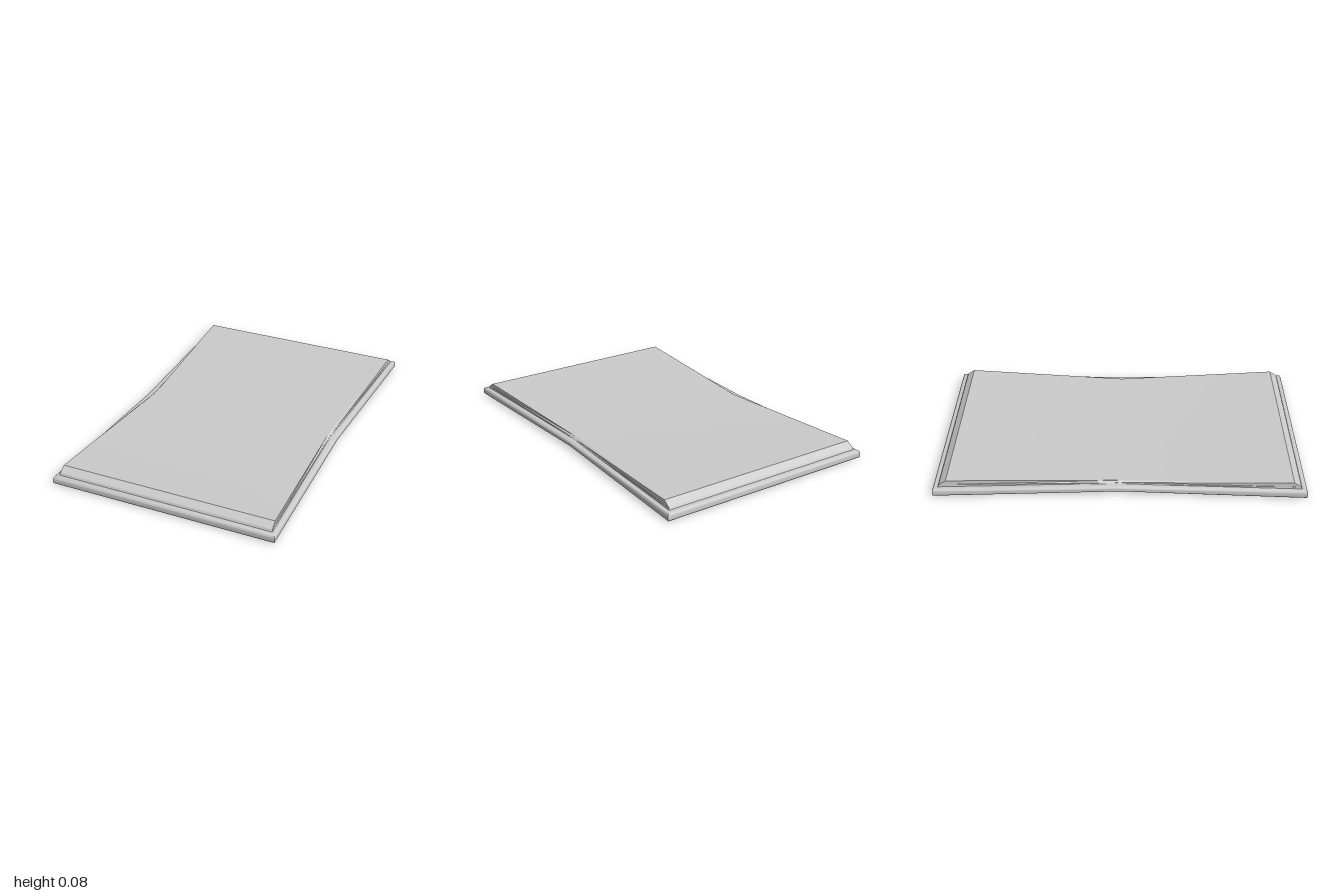
import * as THREE from 'three';
import { toCreasedNormals } from 'three/addons/utils/BufferGeometryUtils.js';

// Closed waisted slab lofted from rings, lowest first.
// Each ring: [half width at ends, half width at waist, half length, y at ends, y at waist]
function waistedSlab(rings, crease) {
  const positions = [];
  const index = [];
  for (const [wEnd, wMid, len, yEnd, yMid] of rings) {
    positions.push(
      wEnd, yEnd, len, wMid, yMid, 0, wEnd, yEnd, -len,
      -wEnd, yEnd, -len, -wMid, yMid, 0, -wEnd, yEnd, len
    );
  }
  for (let r = 0; r < rings.length - 1; r++) {
    for (let i = 0; i < 6; i++) {
      const a = r * 6 + i;
      const b = r * 6 + (i + 1) % 6;
      index.push(a, b, b + 6, a, b + 6, a + 6);
    }
  }
  // Two quads close the bottom and two close the top
  const t = (rings.length - 1) * 6;
  for (const [a, b, c] of [[0, 1, 4], [0, 4, 5], [1, 2, 3], [1, 3, 4]]) {
    index.push(a, c, b, t + a, t + b, t + c);
  }
  const geometry = new THREE.BufferGeometry();
  geometry.setAttribute('position', new THREE.Float32BufferAttribute(positions, 3));
  geometry.setIndex(index);
  return toCreasedNormals(geometry, crease);
}

// Rounded rim of the base: quarter arcs at the lower and upper edge
function baseRings() {
  const rings = [];
  const add = (inset, y, yMid) => rings.push([0.635 - inset, 0.603 - inset, 1 - inset, y, yMid]);
  const steps = 5;
  for (let i = 0; i <= steps; i++) {
    const a = (i / steps) * Math.PI / 2;
    const y = 0.012 * (1 - Math.cos(a));
    add(0.012 * (1 - Math.sin(a)), y, 0.013 + y * 0.7);
  }
  for (let i = 0; i <= steps; i++) {
    const a = (i / steps) * Math.PI / 2;
    const y = 0.031 + 0.015 * Math.sin(a);
    add(0.018 * (1 - Math.cos(a)), y, y - 0.001);
  }
  return rings;
}

export function createModel() {
  const group = new THREE.Group();
  group.name = 'waistedSlab';
  const material = new THREE.MeshStandardMaterial({ color: 0xcccccc });

  // Base with rounded rim, its underside slightly raised at the waist
  const base = new THREE.Mesh(waistedSlab(baseRings(), 0.8), material);
  base.name = 'base';

  // Top plate, dished towards the waist, with bevelled ends
  const plate = new THREE.Mesh(waistedSlab([
    [0.611, 0.572, 0.974, 0.042, 0.042],
    [0.608, 0.565, 0.966, 0.058, 0.048],
    [0.607, 0.553, 0.928, 0.083, 0.056],
  ], 0.3), material);
  plate.name = 'topPlate';

  group.add(base, plate);
  return group;
}
